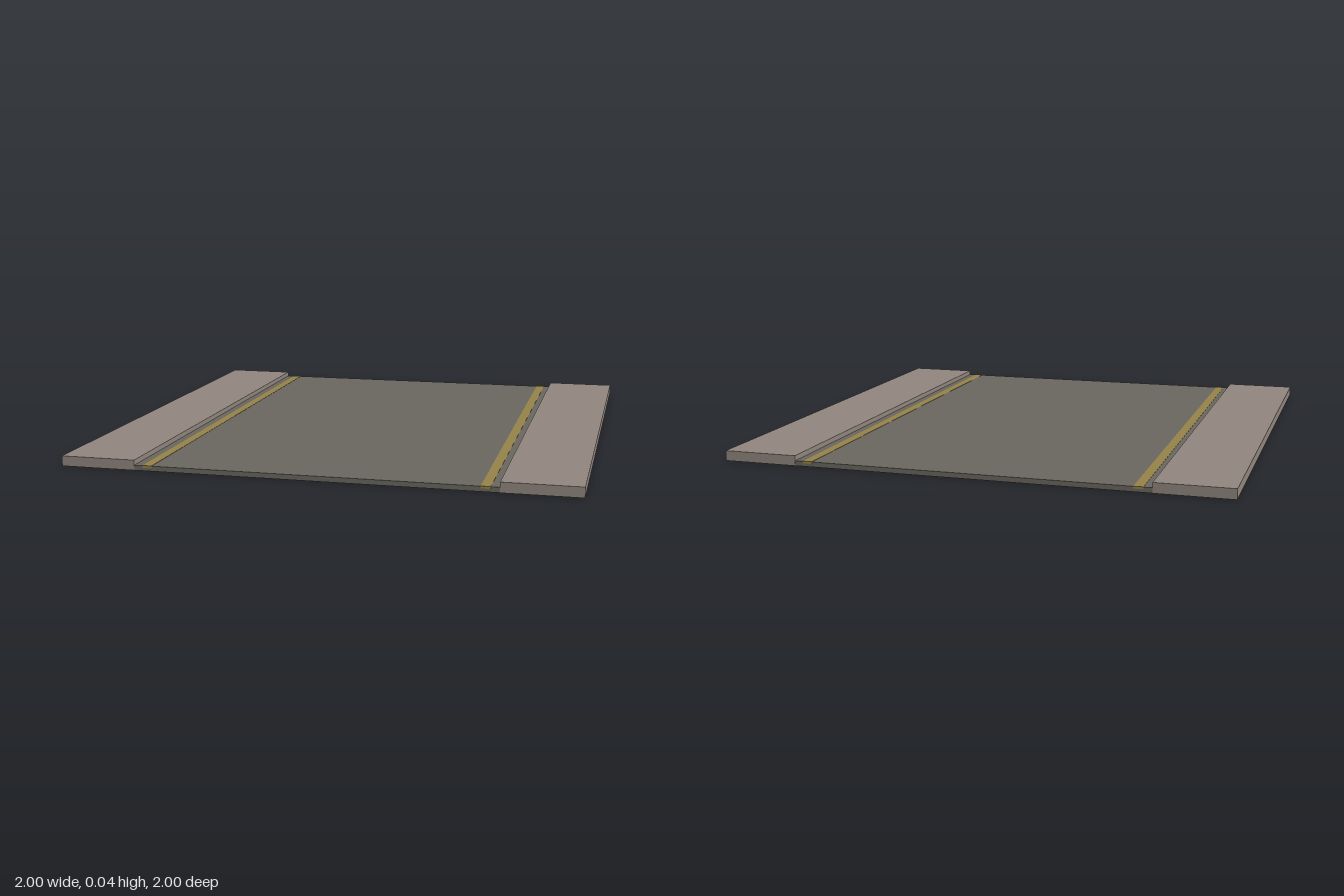
import * as THREE from 'three';

export function createModel() {
  const model = new THREE.Group();
  model.name = 'roadSection';

  const material = (name, color) => {
    const m = new THREE.MeshStandardMaterial({ color });
    m.name = name;
    return m;
  };
  const asphalt = material('asphalt', 0x6b6760);
  const paving = material('paving', 0x91877f);
  const yellow = material('yellowPaint', 0x968348);

  // Box spanning x0..x1 and y0..y1, centred on z
  const slab = (name, mat, x0, x1, y0, y1, length) => {
    const mesh = new THREE.Mesh(new THREE.BoxGeometry(x1 - x0, y1 - y0, length), mat);
    mesh.position.set((x0 + x1) / 2, (y0 + y1) / 2, 0);
    mesh.name = name;
    model.add(mesh);
  };

  // Road bed
  slab('road', asphalt, -0.7, 0.7, 0, 0.02, 1.998);

  // Raised sidewalks
  slab('leftSidewalk', paving, 0.7, 1, 0, 0.04, 2);
  slab('rightSidewalk', paving, -1, -0.7, 0, 0.04, 2);

  // Painted edge lines, set into the road surface
  slab('leftEdgeLine', yellow, 0.63, 0.667, 0.012, 0.021, 2);
  slab('rightEdgeLine', yellow, -0.667, -0.63, 0.012, 0.021, 2);

  return model;
}
